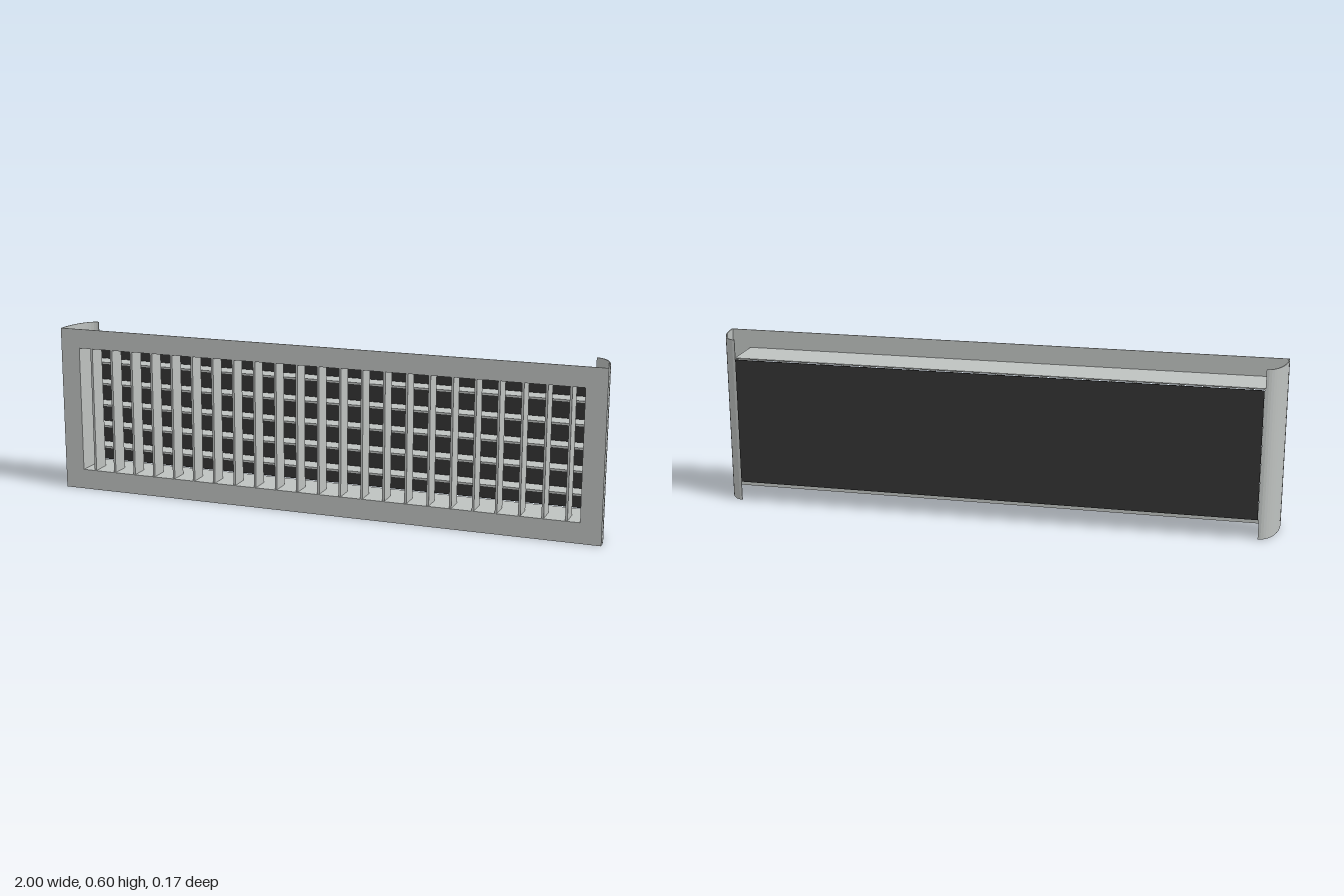
import * as THREE from 'three';

export function createModel() {
  const model = new THREE.Group();
  model.name = 'ventGrille';
  const metal = new THREE.MeshStandardMaterial({ color: 0xbec2c0 });
  metal.name = 'satin metal';
  const dark = new THREE.MeshStandardMaterial({ color: 0x333333 });
  dark.name = 'dark backing';

  const W = 1, H = 0.6, FRONT = 0.084, BACK = -0.075, T = 0.004;
  const IN = 0.927, Y0 = 0.073, Y1 = 0.53, MID = (Y0 + Y1) / 2;

  const add = (name, geometry, material = metal) => {
    const mesh = new THREE.Mesh(geometry, material);
    mesh.name = name;
    model.add(mesh);
    return mesh;
  };
  const box = (name, w, h, d, x, y, z, material) =>
    add(name, new THREE.BoxGeometry(w, h, d), material).position.set(x, y, z);

  // Front plate with a rectangular opening
  const plate = new THREE.Shape([[-W, 0], [W, 0], [W, H], [-W, H]].map(p => new THREE.Vector2(...p)));
  plate.holes.push(new THREE.Path([[-IN, Y0], [-IN, Y1], [IN, Y1], [IN, Y0]].map(p => new THREE.Vector2(...p))));
  add('frontPlate', new THREE.ExtrudeGeometry(plate, { depth: T, bevelEnabled: false })).position.z = FRONT - T;

  // Rectangular duct behind the opening
  const depth = FRONT - T - BACK - 0.002, zMid = FRONT - T - depth / 2;
  for (const s of [-1, 1]) {
    box('ductSide', T, Y1 - Y0 + 2 * T, depth, s * (IN + T / 2), MID, zMid);
    box('ductWall', 2 * IN, T, depth, 0, s < 0 ? Y0 - T / 2 : Y1 + T / 2, zMid);
  }

  // Curved end shells: a thin quarter ellipse drawn from above, extruded upwards
  const arc = (rx, rz, s) => Array.from({ length: 13 }, (_, i) => {
    const a = (i / 12) * Math.PI / 2;
    return new THREE.Vector2(s * (0.93 + rx * Math.cos(a)), -FRONT + T + rz * Math.sin(a));
  });
  const rz = FRONT - T - BACK;
  for (const s of [-1, 1]) {
    const outline = [...arc(0.07, rz, s), ...arc(0.07 - T, rz - T, s).reverse()];
    const shell = new THREE.ExtrudeGeometry(new THREE.Shape(outline), { depth: H, bevelEnabled: false });
    shell.rotateX(-Math.PI / 2);
    add('endShell', shell);
  }

  // Upright fins in front, horizontal bars behind them
  for (let i = -11; i <= 11; i++) box('verticalFin', 0.008, Y1 - Y0, 0.07, i * 0.08, MID, 0.045);
  for (let i = -2; i <= 2; i++) box('horizontalBar', 2 * IN, 0.008, 0.07, 0, MID + i * 0.08, -0.035);

  // Backing panel
  box('backPanel', 2 * IN, Y1 - Y0, 0.003, 0, MID, -0.0815, dark);

  return model;
}
